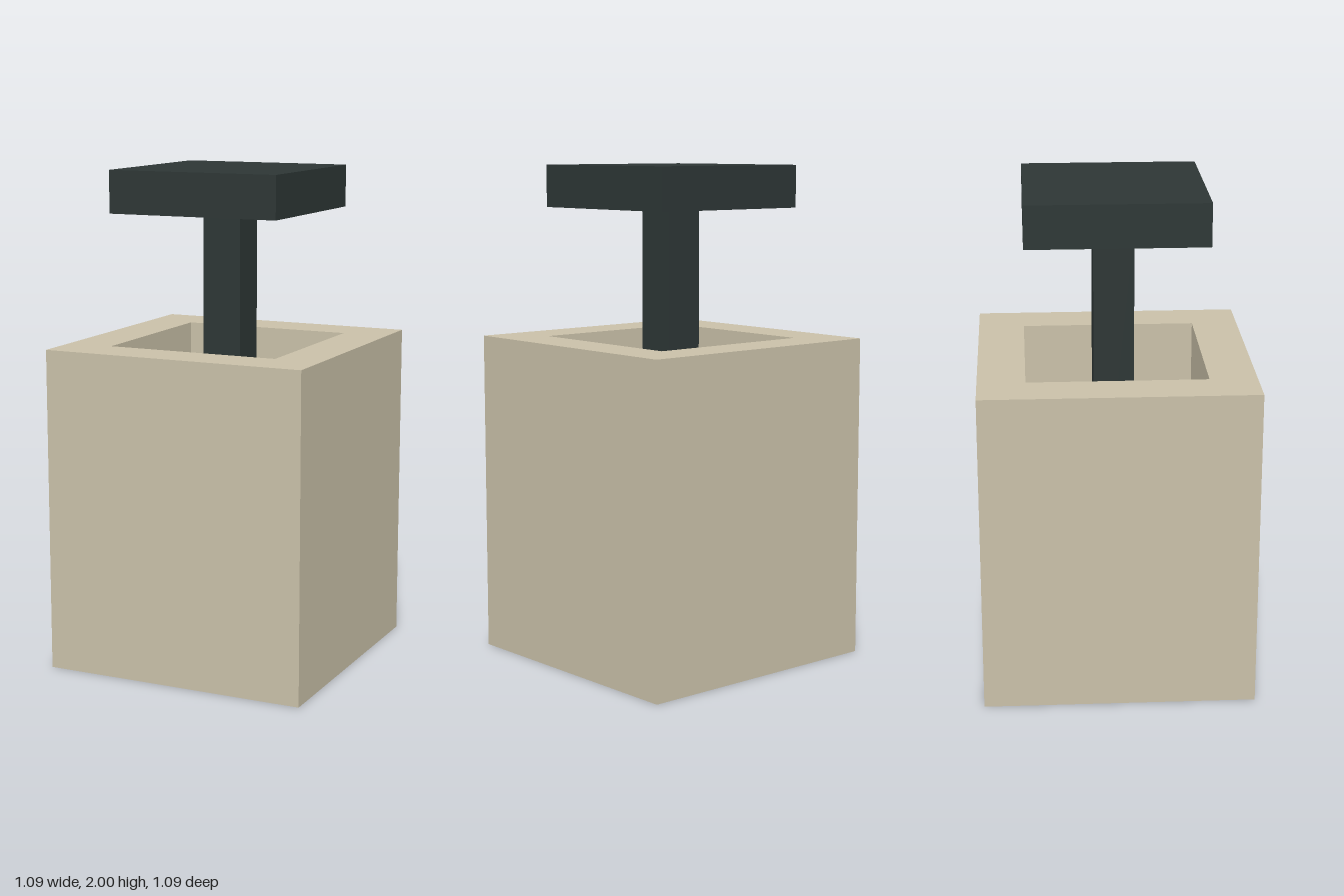
import * as THREE from 'three';

const OUTER = 0.543, INNER = 0.355, STEM = 0.081; // half widths
const BODY_TOP = 1.305, STEM_BOTTOM = 0.21, CAP_BOTTOM = 1.83, TOP = 2;

function square(target, h) {
  target.moveTo(-h, -h);
  target.lineTo(h, -h);
  target.lineTo(h, h);
  target.lineTo(-h, h);
  target.closePath();
  return target;
}

function block(name, half, y0, y1, material) {
  const mesh = new THREE.Mesh(new THREE.BoxGeometry(half * 2, y1 - y0, half * 2), material);
  mesh.position.y = (y0 + y1) / 2;
  mesh.name = name;
  return mesh;
}

export function createModel() {
  const group = new THREE.Group();
  group.name = 'squarePlunger';

  const sand = new THREE.MeshStandardMaterial({ color: 0xc9c0a8 });
  sand.name = 'sand';
  const charcoal = new THREE.MeshStandardMaterial({ color: 0x2d3635 });
  charcoal.name = 'charcoal';

  // Square sleeve, open at both ends
  const section = square(new THREE.Shape(), OUTER);
  section.holes.push(square(new THREE.Path(), INNER));
  const sleeveGeometry = new THREE.ExtrudeGeometry(section, { depth: BODY_TOP, bevelEnabled: false });
  sleeveGeometry.rotateX(-Math.PI / 2);
  const sleeve = new THREE.Mesh(sleeveGeometry, sand);
  sleeve.name = 'sleeve';

  // Stem hanging inside the sleeve, with a flat cap above
  group.add(
    sleeve,
    block('stem', STEM, STEM_BOTTOM, CAP_BOTTOM, charcoal),
    block('cap', INNER, CAP_BOTTOM, TOP, charcoal),
  );
  return group;
}
